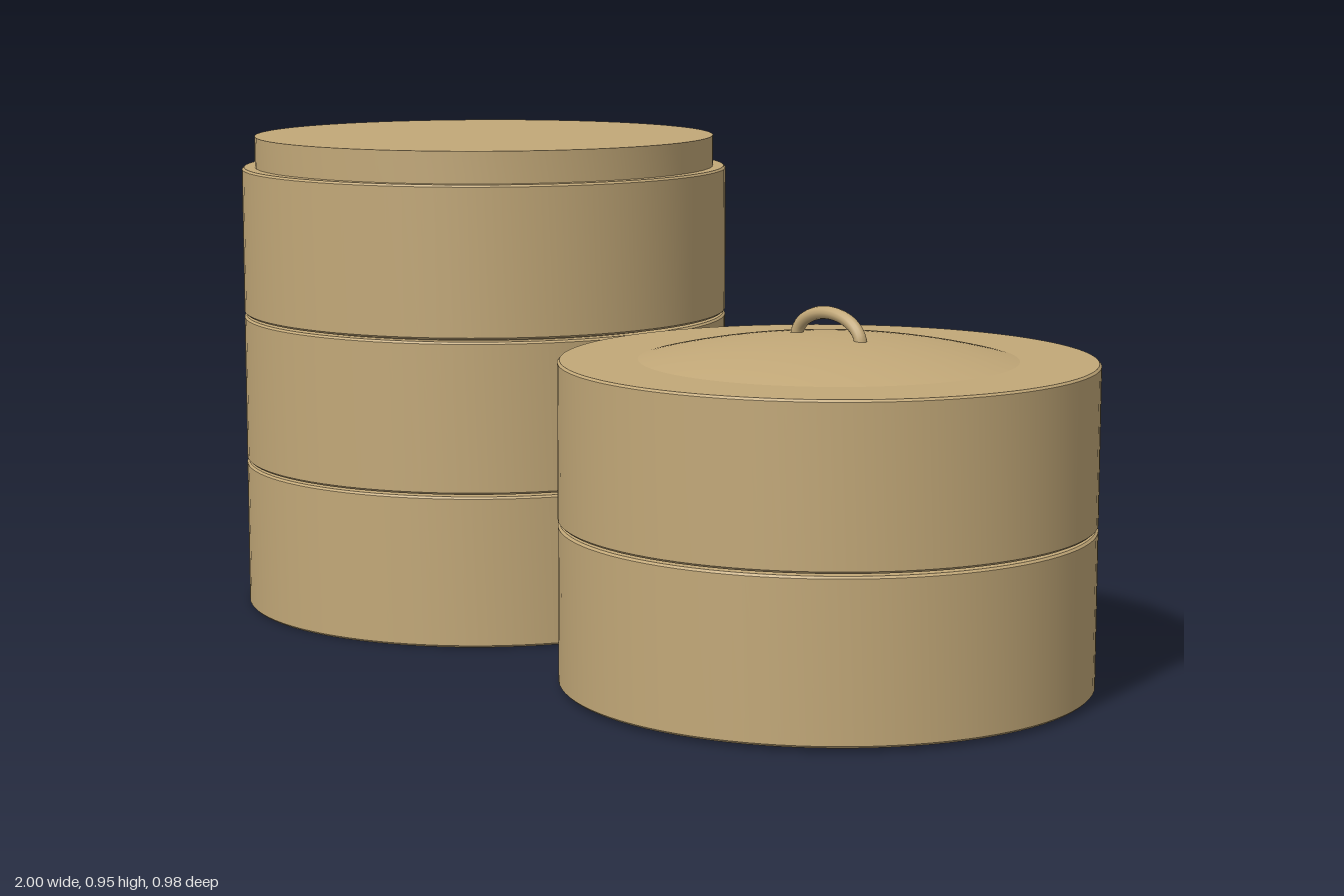
import * as THREE from 'three';
import { toCreasedNormals } from 'three/addons/utils/BufferGeometryUtils.js';

const RADIUS = 0.491, LIP_RADIUS = 0.465, BEVEL = 0.004, SEGMENTS = 96;

export function createModel() {
  const model = new THREE.Group();
  model.name = 'stackedRoundBoxes';
  const tan = new THREE.MeshStandardMaterial({ color: 0xc2a878 });
  tan.name = 'tan wood';

  const add = (parent, name, geometry, x, y) => {
    const mesh = new THREE.Mesh(geometry, tan);
    mesh.name = name;
    mesh.position.set(x, y, 0);
    parent.add(mesh);
  };
  const lathe = (profile) => toCreasedNormals(
    new THREE.LatheGeometry(profile.map(([r, y]) => new THREE.Vector2(r, y)), SEGMENTS), 0.5);

  // Drum with softened rims; a box also carries a narrower lip that fits the next tier
  const drum = (height, lip) => {
    const profile = [[0, 0], [RADIUS - BEVEL, 0], [RADIUS, BEVEL],
      [RADIUS, height - BEVEL], [RADIUS - BEVEL, height]];
    if (lip) profile.push([LIP_RADIUS, height], [LIP_RADIUS, height + lip], [0, height + lip]);
    else profile.push([0, height]);
    return lathe(profile);
  };

  // Tall open stack of three boxes
  const tall = new THREE.Group();
  tall.name = 'tallStack';
  model.add(tall);
  for (let i = 0; i < 3; i++) add(tall, `box${i + 1}`, drum(0.295, 0.062), -0.507, i * 0.299);

  // Short stack: one box under a domed lid
  const short = new THREE.Group();
  short.name = 'lidStack';
  model.add(short);
  add(short, 'box', drum(0.296, 0.062), 0.507, 0.007);
  add(short, 'lid', drum(0.295, 0), 0.507, 0.307);

  // Shallow dome on the lid
  const dome = [];
  for (let i = 0; i <= 16; i++) {
    const t = 1 - i / 16;
    dome.push([0.345 * t, 0.043 * (1 - t * t)]);
  }
  add(short, 'lidDome', lathe(dome), 0.507, 0.602);

  // Arched handle
  const arch = [];
  for (let i = 0; i <= 12; i++) {
    const a = Math.PI * i / 12;
    arch.push(new THREE.Vector3(0.084 * Math.cos(a), 0.052 * Math.sin(a), 0));
  }
  add(short, 'lidHandle',
    new THREE.TubeGeometry(new THREE.CatmullRomCurve3(arch), 40, 0.012, 12), 0.507, 0.634);

  return model;
}
